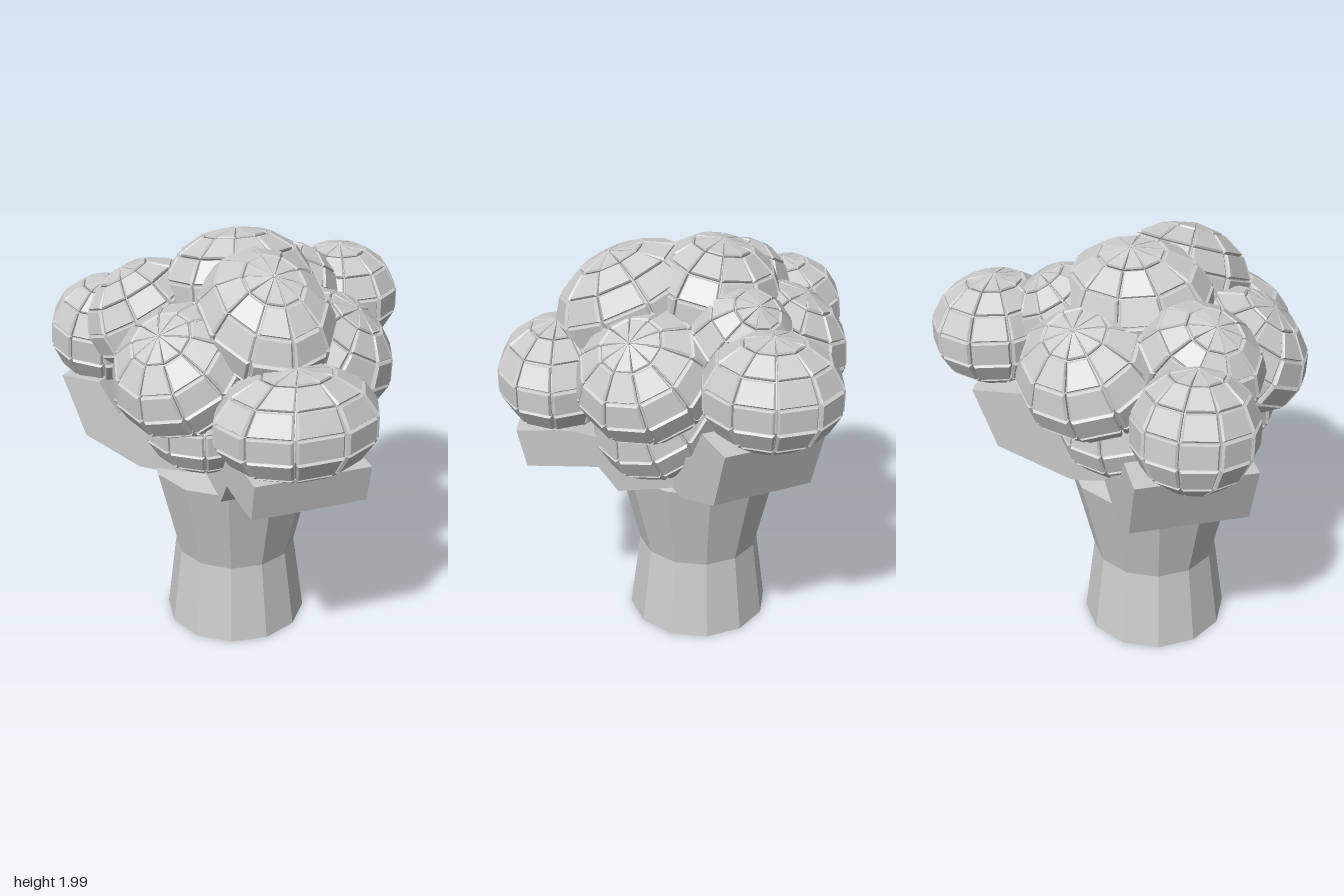
import * as THREE from 'three';

const grey = new THREE.MeshStandardMaterial({ color: 0xcccccc, flatShading: true, side: THREE.DoubleSide });
const SECTORS = 10, BANDS = 7;

// Unit ball covered with separate bevelled plates over a slightly smaller core
function platedBall() {
  const pos = [];
  const point = (lat, lon, r) => [
    r * Math.sin(lat) * Math.cos(lon), r * Math.cos(lat), r * Math.sin(lat) * Math.sin(lon)];
  const quad = (a, b, c, d) => pos.push(...a, ...b, ...c, ...a, ...c, ...d);
  const dLat = Math.PI / BANDS, dLon = (Math.PI * 2) / SECTORS;
  // Corners of one cell, shrunk by a share of its size, at a given radius
  const ring = (i, j, inset, r) => {
    const a = (i + inset) * dLat, b = (i + 1 - inset) * dLat;
    const l = (j + inset) * dLon, m = (j + 1 - inset) * dLon;
    return [point(a, l, r), point(a, m, r), point(b, m, r), point(b, l, r)];
  };
  for (let i = 0; i < BANDS; i++) for (let j = 0; j < SECTORS; j++) {
    const core = ring(i, j, 0, 0.95);
    const low = ring(i, j, 0.025, 0.94), mid = ring(i, j, 0.025, 1.0), top = ring(i, j, 0.08, 1.025);
    quad(...core);
    quad(...top);
    for (let k = 0; k < 4; k++) {
      const n = (k + 1) % 4;
      quad(low[k], low[n], mid[n], mid[k]);
      quad(mid[k], mid[n], top[n], top[k]);
    }
  }
  const g = new THREE.BufferGeometry();
  g.setAttribute('position', new THREE.Float32BufferAttribute(pos, 3));
  g.computeVertexNormals();
  return g;
}

// Thick bent limb: a side profile (distance, height) given a width and turned outward
function branch(name, [x, z], [dx, dz], width, profile) {
  const shape = new THREE.Shape(profile.map(([d, y]) => new THREE.Vector2(d, y)));
  const g = new THREE.ExtrudeGeometry(shape, { depth: width, bevelEnabled: false });
  g.translate(0, 0, -width / 2);
  const m = new THREE.Mesh(g, grey);
  m.name = name;
  m.position.set(x, 0, z);
  m.rotation.y = Math.atan2(-dz, dx);
  return m;
}

export function createModel() {
  const tree = new THREE.Group();
  tree.name = 'tree';

  // Trunk: waisted and twelve-sided
  const trunkProfile = [[0, 0], [0.35, 0], [0.298, 0.4], [0.405, 0.865], [0, 0.92]];
  const trunk = new THREE.Mesh(
    new THREE.LatheGeometry(trunkProfile.map(p => new THREE.Vector2(...p)), 12, 0.13), grey);
  trunk.name = 'trunk';
  trunk.position.set(-0.095, 0, -0.11);
  tree.add(trunk);

  // Three branches carrying the outer foliage
  tree.add(branch('frontBranch', [-0.02, -0.11], [0, 1], 0.54,
    [[0.1, 0.87], [0.38, 0.85], [0.47, 0.98], [0.8, 0.985], [0.84, 1.17], [0.6, 1.17], [0.2, 1.07]]));
  tree.add(branch('leftBranch', [-0.095, -0.09], [0.65, -0.3], 0.48,
    [[0.1, 0.87], [0.37, 0.87], [0.71, 1.02], [0.81, 1.31], [0.58, 1.31], [0.48, 1.15], [0.3, 1.03]]));
  tree.add(branch('rightBranch', [-0.095, -0.115], [-0.73, -0.68], 0.53,
    [[0.1, 0.86], [0.38, 0.855], [0.67, 0.97], [0.78, 1.27], [0.58, 1.27], [0.48, 1.12], [0.3, 1.02]]));

  // Foliage balls: centre, radii, the direction their pole leans, and a turn about it
  const balls = [
    ['frontFoliage', [-0.03, 1.345, 0.55], [0.375, 0.25, 0.285], [0, 1, 0]],
    ['leftFoliage', [0.57, 1.53, -0.41], [0.285, 0.25, 0.305], [0, 1, 0]],
    ['rightFoliage', [-0.59, 1.44, -0.55], [0.27, 0.265, 0.27], [0.04, 1, 0.12]],
    ['crownFoliage', [-0.04, 1.725, -0.17], [0.35, 0.265, 0.31], [0, 0.25, -0.04]],
    ['upperFrontFoliage', [-0.045, 1.695, 0.2], [0.3, 0.25, 0.365], [0, 0.23, 0.105], Math.PI / SECTORS],
    ['backFoliage', [-0.01, 1.5, -0.475], [0.33, 0.27, 0.32], [0, 0.23, -0.11]],
    ['frontLeftFoliage', [0.285, 1.47, 0.125], [0.325, 0.25, 0.325], [0.13, 0.22, 0.075]],
    ['frontRightFoliage', [-0.41, 1.47, 0.12], [0.325, 0.25, 0.325], [-0.13, 0.22, 0.08]],
    ['upperRightFoliage', [-0.45, 1.59, -0.3], [0.29, 0.25, 0.25], [-0.11, 0.23, -0.05]],
    ['upperLeftFoliage', [0.24, 1.61, -0.28], [0.25, 0.25, 0.24], [0.11, 0.22, -0.08]],
    ['lowerLeftFoliage', [0.14, 1.17, 0.1], [0.29, 0.25, 0.29], [0.1, 0.22, 0.08]],
    ['lowerRightFoliage', [-0.3, 1.19, 0.09], [0.28, 0.23, 0.28], [0, 1, 0]],
    ['lowerBackFoliage', [-0.04, 1.18, -0.32], [0.28, 0.24, 0.27], [0, 0.24, -0.08]],
  ];
  const ball = platedBall();
  const up = new THREE.Vector3(0, 1, 0);
  for (const [name, centre, radii, pole, turn = 0] of balls) {
    const foliage = new THREE.Group();
    foliage.name = name;
    foliage.position.set(...centre);
    foliage.scale.set(1, 1, 1);
    foliage.quaternion.setFromUnitVectors(up, new THREE.Vector3(...pole).normalize());
    const plates = new THREE.Mesh(ball.clone().rotateY(turn).scale(...radii), grey);
    plates.name = 'plates';
    foliage.add(plates);
    tree.add(foliage);
  }
  return tree;
}
